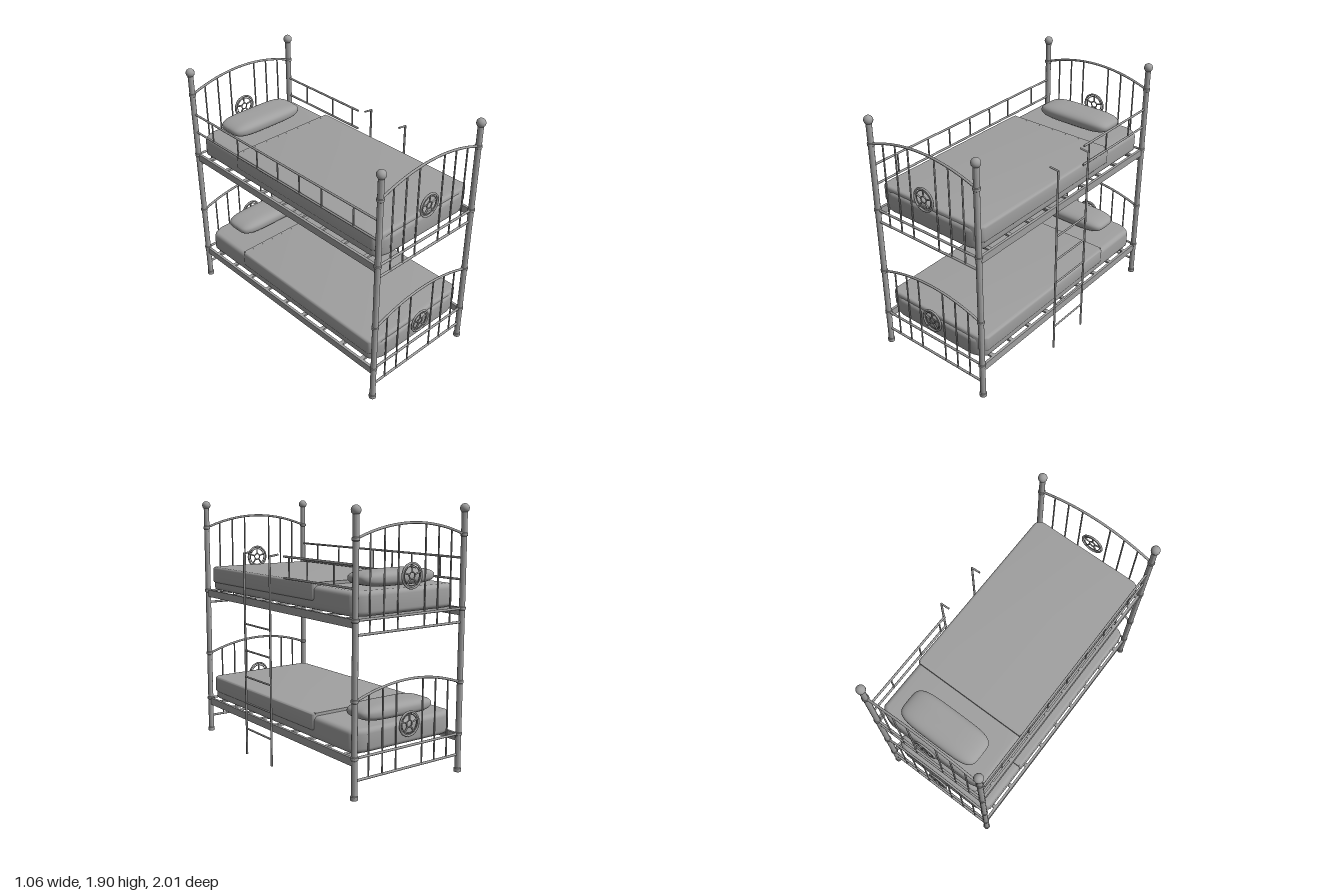
import * as THREE from 'three';
import { toCreasedNormals } from 'three/addons/utils/BufferGeometryUtils.js';

const CX = -0.03;            // middle of the bed
const HALF_W = 0.47;         // centre to post
const END_Z = 0.97;          // centre to bed end
const TIER = 0.905;          // height between the two beds

const paint = new THREE.MeshStandardMaterial({ color: 0xa0a0a0 });
paint.name = 'plain grey';

function add(parent, name, geometry, x = 0, y = 0, z = 0) {
  const mesh = new THREE.Mesh(geometry, paint);
  mesh.name = name;
  mesh.position.set(x, y, z);
  parent.add(mesh);
  return mesh;
}

// Round bar between two points
function bar(parent, name, a, b, r = 0.006) {
  const from = new THREE.Vector3(...a), to = new THREE.Vector3(...b);
  const dir = to.clone().sub(from);
  const mesh = add(parent, name, new THREE.CylinderGeometry(r, r, dir.length(), 10));
  mesh.position.copy(from).add(to).multiplyScalar(0.5);
  mesh.quaternion.setFromUnitVectors(new THREE.Vector3(0, 1, 0), dir.normalize());
  return mesh;
}

// Post with foot, collars and ball finial
function makePost() {
  const profile = [[0, 0], [0.026, 0], [0.027, 0.012], [0.026, 0.026], [0.021, 0.03]];
  for (const y of [0.28, 0.66, 1.18, 1.69]) {
    profile.push([0.021, y - 0.013], [0.026, y - 0.009], [0.026, y + 0.009], [0.021, y + 0.013]);
  }
  profile.push([0.021, 1.85], [0, 1.85]);
  const post = new THREE.Group();
  post.name = 'post';
  const points = profile.map(([x, y]) => new THREE.Vector2(x, y));
  add(post, 'postShaft', toCreasedNormals(new THREE.LatheGeometry(points, 20), 0.6));
  add(post, 'ballFinial', new THREE.SphereGeometry(0.033, 20, 14), 0, 1.867, 0);
  return post;
}

// Round wheel ornament with five spokes
function makeOrnament() {
  const wheel = new THREE.Group();
  wheel.name = 'wheelOrnament';
  add(wheel, 'outerRing', new THREE.TorusGeometry(0.083, 0.008, 8, 36));
  add(wheel, 'innerRing', new THREE.TorusGeometry(0.066, 0.004, 6, 36));
  add(wheel, 'hubRing', new THREE.TorusGeometry(0.024, 0.005, 6, 20));
  for (let i = 0; i < 5; i++) {
    const a = Math.PI / 2 + i * Math.PI * 0.4, c = Math.cos(a), s = Math.sin(a);
    bar(wheel, 'spoke', [c * 0.024, s * 0.024, 0], [c * 0.08, s * 0.08, 0], 0.006);
  }
  return wheel;
}

// Arched end panel of one bed; y is its bottom rail, archY the arch's ends
function makeEndPanel(bottomY, midY, archY, wheelY) {
  const panel = new THREE.Group();
  panel.name = 'endPanel';
  const archAt = (x) => archY + 0.09 * (1 - (x / HALF_W) ** 2);
  const points = [];
  for (let i = 0; i <= 12; i++) {
    const x = -HALF_W + (2 * HALF_W * i) / 12;
    points.push(new THREE.Vector3(x, archAt(x), 0));
  }
  add(panel, 'arch', new THREE.TubeGeometry(new THREE.CatmullRomCurve3(points), 36, 0.009, 8));
  for (const y of [bottomY, midY]) bar(panel, 'crossRail', [-HALF_W, y, 0], [HALF_W, y, 0], 0.009);
  for (const i of [-3, -2, -1, 1, 2, 3]) {
    const x = i * 0.1175;
    bar(panel, 'spindle', [x, bottomY, 0], [x, archAt(x), 0], 0.006);
  }
  const wheel = makeOrnament();
  wheel.position.y = wheelY;
  panel.add(wheel);
  return panel;
}

// Flat slab with cut, softened corners and rounded rims
function slab(x0, x1, z0, z1, y0, y1, cutBack, cutFront, rim) {
  const s = new THREE.Shape();
  const l = x0 + rim, r = x1 - rim, f = -z1 + rim, b = -z0 - rim;
  const [bx, bz] = cutBack, [fx, fz] = cutFront;
  s.moveTo(l + fx, f);
  s.lineTo(r - fx, f);
  s.quadraticCurveTo(r - fx * 0.25, f + fz * 0.25, r, f + fz);
  s.lineTo(r, b - bz);
  s.quadraticCurveTo(r - bx * 0.25, b - bz * 0.25, r - bx, b);
  s.lineTo(l + bx, b);
  s.quadraticCurveTo(l + bx * 0.25, b - bz * 0.25, l, b - bz);
  s.lineTo(l, f + fz);
  s.quadraticCurveTo(l + fx * 0.25, f + fz * 0.25, l + fx, f);
  const g = new THREE.ExtrudeGeometry(s, {
    depth: y1 - y0 - 2 * rim, bevelThickness: rim, bevelSize: rim, bevelSegments: 5, curveSegments: 6,
  });
  g.translate(0, 0, y0 + rim);
  g.rotateX(-Math.PI / 2);
  return toCreasedNormals(g, 0.7);
}

// Pillow: a sphere squared off towards a cushion
function pillowGeometry() {
  const g = new THREE.SphereGeometry(1, 40, 24);
  const p = g.attributes.position;
  const pow = (v, e) => Math.sign(v) * Math.abs(v) ** e;
  for (let i = 0; i < p.count; i++) {
    const y = p.getY(i), h = Math.sqrt(Math.max(0, 1 - y * y));
    const k = h > 1e-6 ? h ** 0.55 / h : 0;
    const x = p.getX(i) * k, z = p.getZ(i) * k, len = Math.hypot(x, z) || 1;
    p.setXYZ(i, 0.32 * pow(x / len, 0.45) * len, 0.055 * pow(y, 0.8), 0.135 * pow(z / len, 0.45) * len);
  }
  g.computeVertexNormals();
  return g;
}

// Side rails, slats and bedding of one bed
function makeBed() {
  const bed = new THREE.Group();
  bed.name = 'bed';
  for (const side of [-1, 1]) {
    add(bed, 'sideRail', new THREE.BoxGeometry(0.02, 0.056, 2 * END_Z), CX + side * HALF_W, 0.254, 0);
  }
  for (let i = -4; i <= 4; i++) {
    add(bed, 'slat', new THREE.BoxGeometry(2 * HALF_W, 0.016, 0.03), CX, 0.268, i * 0.21);
  }
  add(bed, 'mattress', slab(-0.478, 0.422, -0.945, 0.95, 0.284, 0.45, [0.08, 0.04], [0.08, 0.04], 0.035));
  add(bed, 'blanket', slab(-0.487, 0.432, -0.5, 0.935, 0.345, 0.472, [0.002, 0.002], [0.04, 0.03], 0.02));
  // flat rear hem squares off the blanket's turned edge
  add(bed, 'blanketHem', new THREE.BoxGeometry(0.88, 0.02, 0.02), CX + 0.002, 0.462, -0.491);
  add(bed, 'pillow', pillowGeometry(), CX, 0.509, -0.765);
  return bed;
}

// Two-rail guard along one side, from z0 to z1
function makeGuard(x, z0, z1, uprights) {
  const guard = new THREE.Group();
  guard.name = 'guardRail';
  for (const y of [1.38, 1.53]) bar(guard, 'guardBar', [x, y, z0], [x, y, z1], 0.008);
  for (const z of uprights) bar(guard, 'guardUpright', [x, 1.38, z], [x, 1.53, z], 0.006);
  return guard;
}

// Ladder with hooked tops
function makeLadder() {
  const ladder = new THREE.Group();
  ladder.name = 'ladder';
  const zs = [-0.1, 0.25];
  for (const z of zs) {
    bar(ladder, 'ladderPole', [0.52, 0, z], [0.52, 1.532, z], 0.008);
    bar(ladder, 'ladderHook', [0.525, 1.53, z], [0.45, 1.54, z], 0.007);
  }
  for (let i = 1; i <= 5; i++) {
    bar(ladder, 'rung', [0.52, i * 0.2015, zs[0]], [0.52, i * 0.2015, zs[1]], 0.007);
  }
  return ladder;
}

export function createModel() {
  const model = new THREE.Group();
  model.name = 'bunkBed';

  for (const end of [-1, 1]) {
    for (const side of [-1, 1]) {
      const post = makePost();
      post.position.set(CX + side * HALF_W, 0, end * END_Z);
      model.add(post);
    }
    const lower = makeEndPanel(0.128, 0.28, 0.655, 0.433);
    const upper = makeEndPanel(1.085, 1.18, 1.69, 1.435);
    for (const panel of [lower, upper]) {
      panel.position.set(CX, 0, end * END_Z);
      model.add(panel);
    }
  }

  for (const level of [0, 1]) {
    const bed = makeBed();
    bed.position.y = level * TIER;
    model.add(bed);
  }

  model.add(makeGuard(CX - HALF_W, -END_Z, END_Z, [-0.745, -0.445, -0.225, 0, 0.225, 0.445, 0.745]));
  model.add(makeGuard(CX + HALF_W, -END_Z, -0.16, [-0.745, -0.445, -0.225]));
  model.add(makeLadder());
  return model;
}
